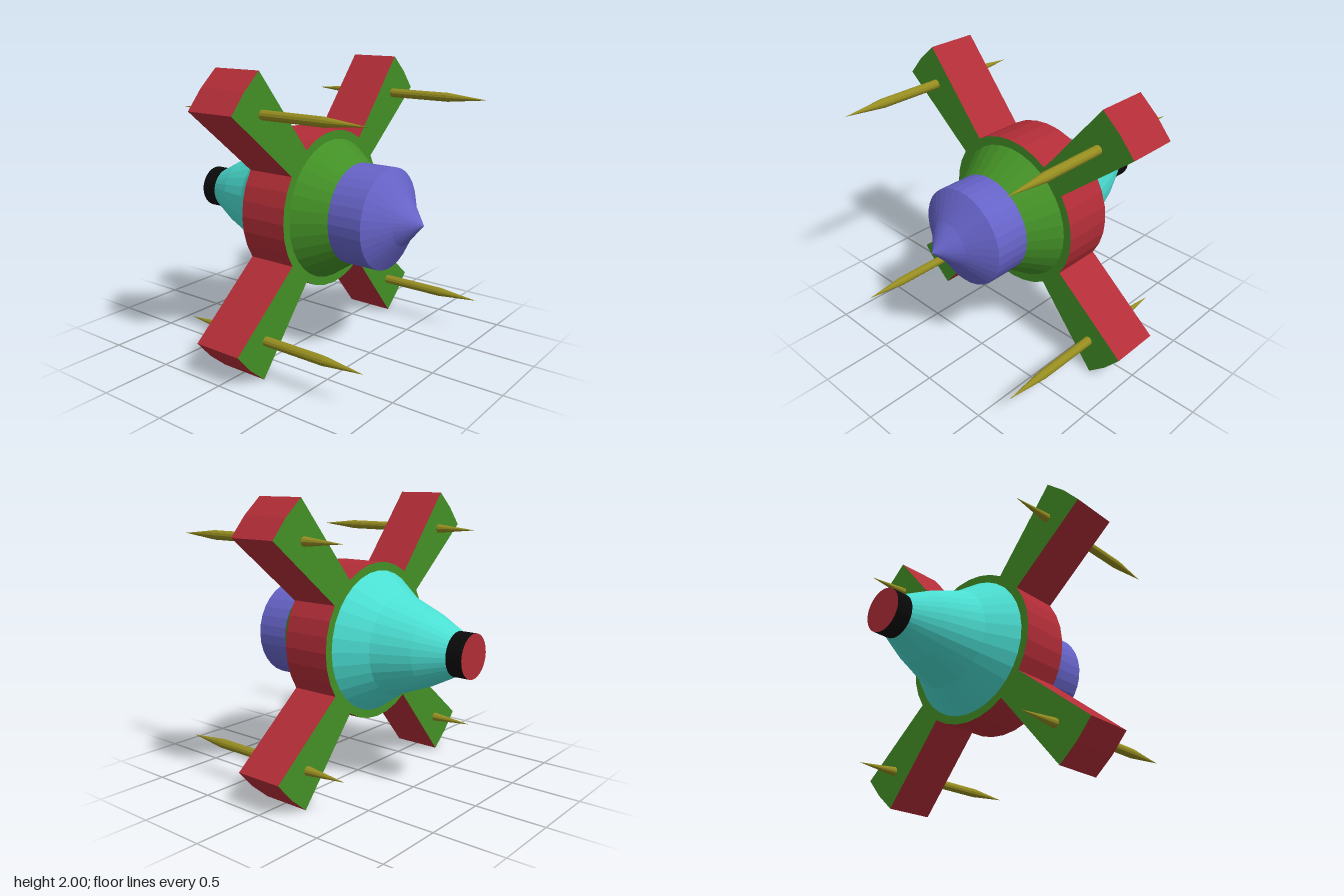
import * as THREE from 'three';

const paint = (color) => new THREE.MeshStandardMaterial({ color, flatShading: true });
const green = paint(0x439026), red = paint(0xb22d37), purple = paint(0x6663c8);
const teal = paint(0x4bded2), black = paint(0x0a0a0a), olive = paint(0x958c20);

// Surface of revolution around z, profile as [radius, z] from back to front
function turned(name, profile, material, sides = 32) {
  const points = profile.map(([r, z]) => new THREE.Vector2(r, z));
  const geometry = new THREE.LatheGeometry(points, sides).rotateX(Math.PI / 2);
  const mesh = new THREE.Mesh(geometry, material);
  mesh.name = name;
  return mesh;
}

// Collar outline: a 32-sided disc broken by four radial wings
function wingedCollar() {
  const outline = [];
  const polar = (r, deg) => {
    const a = THREE.MathUtils.degToRad(deg);
    outline.push(new THREE.Vector2(r * Math.cos(a), r * Math.sin(a)));
  };
  for (let q = 0; q < 4; q++) {
    for (let i = -3; i <= 3; i++) polar(0.547, q * 90 + i * 11.25);
    for (const deg of [37.05, 45, 52.95]) polar(1.253, q * 90 + deg);
  }
  const geometry = new THREE.ExtrudeGeometry(new THREE.Shape(outline), { depth: 0.356, bevelEnabled: false });
  geometry.translate(0, 0, -0.181);
  const mesh = new THREE.Mesh(geometry, [green, red]);
  mesh.name = 'wingedCollar';
  return mesh;
}

export function createModel() {
  const model = new THREE.Group();
  model.name = 'spacecraft';
  const craft = new THREE.Group();
  craft.name = 'craft';
  craft.position.y = 1;
  model.add(craft);

  craft.add(wingedCollar());

  // Body sections from nose to tail
  craft.add(turned('nose', [[0.347, 0.38], [0.347, 0.632], [0.16, 0.752], [0, 0.894]], purple));
  craft.add(turned('shoulder', [[0.49, 0.17], [0.347, 0.38]], green));
  craft.add(turned('tailCone', [[0.15, -0.833], [0.25, -0.638], [0.35, -0.38], [0.49, -0.18]], teal));
  craft.add(turned('nozzle', [[0.15, -0.95], [0.15, -0.833]], black));
  craft.add(turned('nozzleCap', [[0, -0.95], [0.15, -0.95]], red));

  // Pointed rods through the wing tips
  const rod = [[0, -0.493], [0.032, -0.181], [0.032, 0.638], [0, 0.939]];
  for (const x of [-1, 1]) {
    for (const y of [-1, 1]) {
      const gun = turned('wingRod', rod, olive, 12);
      gun.position.set(x * 0.733, y * 0.735, 0);
      craft.add(gun);
    }
  }
  return model;
}
